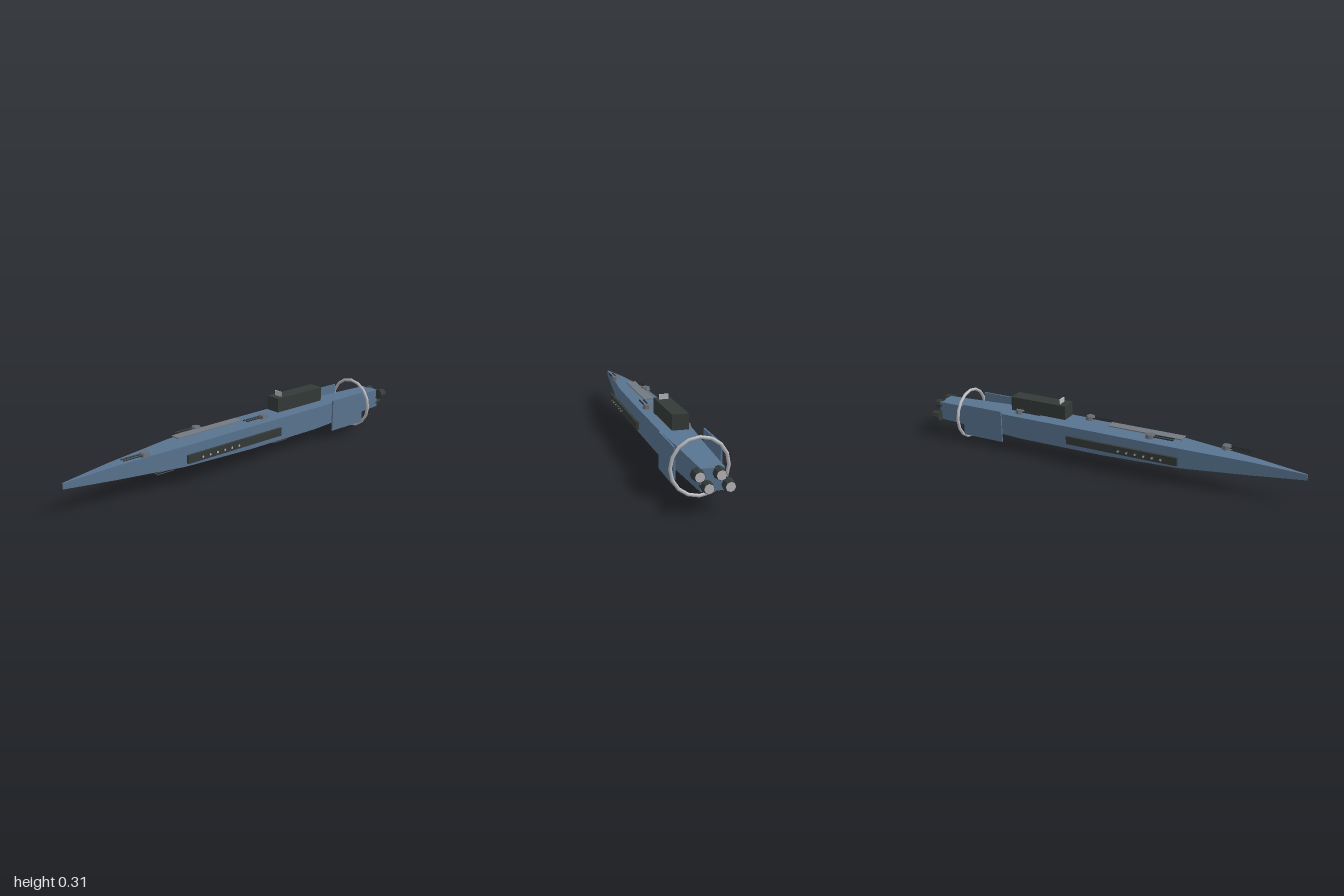
import * as THREE from 'three';

const mat = (name, color) => {
  const m = new THREE.MeshStandardMaterial({ color });
  m.name = name;
  return m;
};

// faceted normals for low-poly parts
const facet = (geo) => {
  const g = geo.index ? geo.toNonIndexed() : geo;
  g.computeVertexNormals();
  return g;
};

// rectangular sections [z, halfWidth, bottom, top], nose to tail
function hullGeometry(sections) {
  const loops = sections.map(([z, w, b, t]) => [[-w, b, z], [w, b, z], [w, t, z], [-w, t, z]]);
  const pos = [];
  const quad = (a, b, c, d) => pos.push(...a, ...b, ...c, ...a, ...c, ...d);
  for (let i = 0; i < loops.length - 1; i++) {
    for (let j = 0; j < 4; j++) {
      const k = (j + 1) % 4;
      quad(loops[i][j], loops[i + 1][j], loops[i + 1][k], loops[i][k]);
    }
  }
  const [a, b, c, d] = loops[0];
  quad(a, b, c, d);
  const [e, f, g, h] = loops[loops.length - 1];
  quad(h, g, f, e);
  const geo = new THREE.BufferGeometry();
  geo.setAttribute('position', new THREE.Float32BufferAttribute(pos, 3));
  geo.computeVertexNormals();
  return geo;
}

export function createModel() {
  const model = new THREE.Group();
  model.name = 'spaceship';
  const hull = mat('hullBlue', 0x587490);
  const dark = mat('darkArmour', 0x343a38);
  const gunMetal = mat('gunMetal', 0x272b2d);
  const turretGrey = mat('turretGrey', 0x666b73);
  const deckGrey = mat('deckGrey', 0x737980);
  const light = mat('lightMetal', 0xb9babf);

  const add = (name, geo, material, x, y, z, parent = model) => {
    const m = new THREE.Mesh(geo, material);
    m.name = name;
    m.position.set(x, y, z);
    parent.add(m);
    return m;
  };
  const box = (name, w, h, d, material, x, y, z) =>
    add(name, new THREE.BoxGeometry(w, h, d), material, x, y, z);

  // Hull
  add('hull', hullGeometry([
    [1, 0.003, 0.125, 0.153],
    [0.75, 0.028, 0.107, 0.173],
    [0.4, 0.066, 0.088, 0.189],
    [0, 0.077, 0.08, 0.196],
    [-0.45, 0.077, 0.08, 0.196],
    [-0.7, 0.062, 0.085, 0.19],
    [-0.965, 0.05, 0.09, 0.185],
  ]), hull, 0, 0, 0);

  // Superstructure, bridge screen and deck strip
  box('superstructure', 0.077, 0.072, 0.31, dark, 0, 0.248, -0.367);
  box('bridgeScreen', 0.044, 0.025, 0.005, light, 0, 0.296, -0.25);
  box('deckStrip', 0.05, 0.005, 0.385, deckGrey, 0, 0.217, 0.213);

  // Tail ring
  add('tailRing', new THREE.TorusGeometry(0.126, 0.008, 8, 16), light, 0, 0.136, -0.8);

  // Side fins and broadside batteries
  const stub = facet(new THREE.CylinderGeometry(0.006, 0.006, 0.01, 8).rotateZ(Math.PI / 2));
  for (const s of [-1, 1]) {
    box('sideFin', 0.008, 0.166, 0.23, hull, s * 0.101, 0.137, -0.663);
    box('broadside', 0.013, 0.04, 0.585, dark, s * 0.105, 0.139, 0.122);
    const cap = new THREE.CircleGeometry(0.006, 8).rotateY(s * Math.PI / 2);
    for (let i = 0; i < 6; i++) {
      const z = 0.337 - i * 0.044;
      add('broadsideGun', stub, dark, s * 0.116, 0.139, z);
      add('broadsideMuzzle', cap, light, s * 0.1213, 0.139, z);
    }
  }

  // Deck turrets with twin barrels
  const turretGeo = facet(new THREE.CylinderGeometry(0.021, 0.027, 0.018, 8));
  const barrelGeo = (len) => new THREE.CylinderGeometry(0.0035, 0.0035, len, 8).rotateX(Math.PI / 2);
  const deckBarrel = barrelGeo(0.12);
  const keelBarrel = barrelGeo(0.1);
  [[0.04, 0.196, 0.605], [-0.04, 0.216, 0.25], [0.04, 0.216, -0.11], [-0.04, 0.216, -0.47]]
    .forEach(([x, y, z]) => {
      const turret = new THREE.Group();
      turret.name = 'turret';
      turret.position.set(x, y, z);
      model.add(turret);
      add('turretBase', turretGeo, turretGrey, 0, 0, 0, turret);
      for (const s of [-1, 1]) add('barrel', deckBarrel, gunMetal, s * 0.01, 0.001, 0.06, turret);
    });

  // Keel guns
  [[0.039, 0.081, 0.5], [-0.039, 0.06, 0.14], [0.039, 0.06, -0.22]].forEach(([x, y, z]) => {
    for (const s of [-1, 1]) add('keelBarrel', keelBarrel, gunMetal, x + s * 0.009, y, z);
  });

  // Engines with bright exhaust discs
  const engineGeo = facet(new THREE.CylinderGeometry(0.028, 0.023, 0.044, 8)
    .rotateY(Math.PI / 8).rotateX(Math.PI / 2).rotateZ(Math.PI / 8));
  const discGeo = new THREE.CircleGeometry(0.021, 8).rotateY(Math.PI);
  for (const s of [-1, 1]) {
    for (const [x, y] of [[0.063, 0.025], [-0.025, 0.026]]) {
      add('engine', engineGeo, dark, s * x, 0.138 + s * y, -0.977);
      add('exhaust', discGeo, light, s * x, 0.138 + s * y, -1);
    }
  }
  return model;
}
